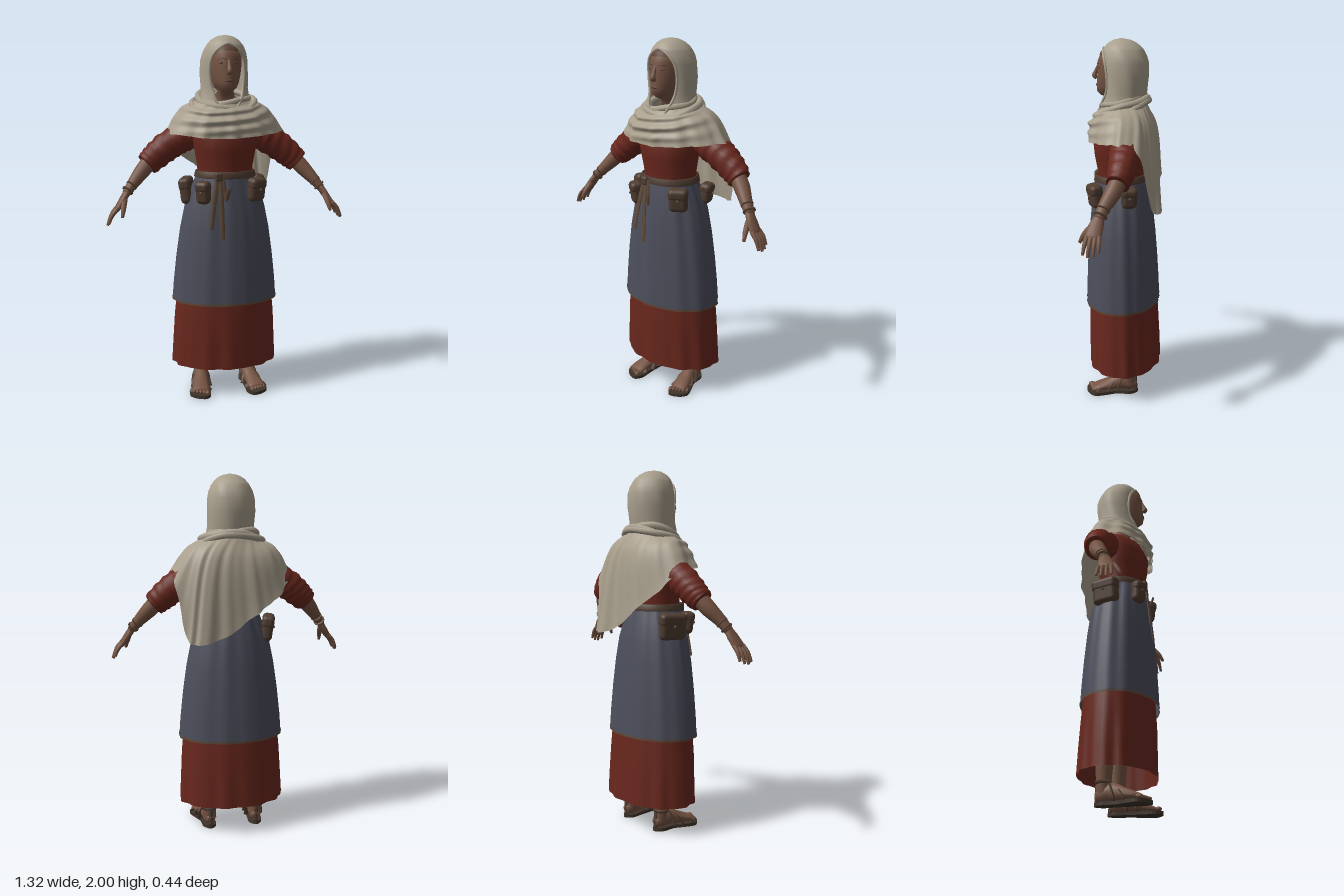
import * as THREE from 'three';
import { RoundedBoxGeometry } from 'three/addons/geometries/RoundedBoxGeometry.js';

const paint = (name, color) => {
  const m = new THREE.MeshStandardMaterial({ color, side: THREE.DoubleSide });
  m.name = name;
  return m;
};
const cream = paint('cream cloth', 0xa99f8d);
const red = paint('rust red cloth', 0x68271d);
const blue = paint('slate blue cloth', 0x4c4e5b);
const skin = paint('skin', 0x755443);
const shade = paint('dark skin', 0x5e4336);
const leather = paint('leather', 0x503d31);
const strapTan = paint('worn strap', 0x5f4a39);
const sole = paint('sole', 0x40342a);

const V = (x, y, z) => new THREE.Vector3(x, y, z);
const TAU = Math.PI * 2;

function add(parent, name, geometry, material, x = 0, y = 0, z = 0) {
  const mesh = new THREE.Mesh(geometry, material);
  mesh.name = name;
  mesh.position.set(x, y, z);
  parent.add(mesh);
  return mesh;
}

// Grid surface from f(u index, v index), optionally wrapped in u
function surface(nu, nv, f, closed = true) {
  const cols = closed ? nu : nu + 1, pos = [], idx = [];
  for (let j = 0; j <= nv; j++) for (let i = 0; i < cols; i++) pos.push(...f(i / nu, j).toArray());
  for (let j = 0; j < nv; j++) for (let i = 0; i < nu; i++) {
    const a = j * cols + i, b = j * cols + (i + 1) % cols;
    idx.push(a, b, a + cols, b, b + cols, a + cols);
  }
  const g = new THREE.BufferGeometry();
  g.setAttribute('position', new THREE.Float32BufferAttribute(pos, 3));
  g.setIndex(idx);
  g.computeVertexNormals();
  return g;
}

// Upright loft; rows are [y, half width, front z, back z, fold depth], bottom to top
function loft(rows, nu = 48) {
  return surface(nu, rows.length - 1, (u, j) => {
    const [y, rx, zf, zb, fold = 0] = rows[j], t = u * TAU;
    const k = 1 + fold * (Math.sin(11 * t + 1) + 0.7 * Math.sin(17 * t + 2.5));
    return V(rx * Math.sin(t) * k, y, (zf + zb) / 2 + (zf - zb) / 2 * Math.cos(t) * k);
  });
}

// Capped tube; points are [x, y, z, radius along ref, other radius]
function limb(points, { ref = V(0, 0, 1), n = 14, steps = 4, s = 1, wrinkle = 0 } = {}) {
  const curve = new THREE.CatmullRomCurve3(points.map(p => V(p[0] * s, p[1], p[2])));
  const last = points.length - 1, nv = last * steps;
  return surface(n, nv + 2, (u, j) => {
    const t = THREE.MathUtils.clamp((j - 1) / nv, 0, 1), k = Math.min(Math.floor(t * last), last - 1), f = t * last - k;
    const radius = i => THREE.MathUtils.lerp(points[k][i] ?? points[k][3], points[k + 1][i] ?? points[k + 1][3], f);
    const c = curve.getPoint(t), d = curve.getTangent(t);
    const side = ref.clone().addScaledVector(d, -ref.dot(d)).normalize(), other = d.clone().cross(side);
    const a = u * TAU, cap = j === 0 || j === nv + 2 ? 0 : 1 + wrinkle * Math.sin(j * 1.7 + 3 * Math.sin(a + j * 0.2));
    return c.addScaledVector(side, Math.cos(a) * radius(3) * cap).addScaledVector(other, Math.sin(a) * radius(4) * cap);
  });
}

function buildDress(g) {
  add(g, 'underskirt', loft([[0.165, 0.3, 0.2, -0.21, 0.018], [0.3, 0.293, 0.2, -0.204, 0.014],
    [0.45, 0.285, 0.2, -0.195, 0.008], [0.6, 0.27, 0.192, -0.185, 0]], 96), red);
  add(g, 'overskirt', loft([[0.545, 0.297, 0.216, -0.2, 0.008], [0.65, 0.289, 0.213, -0.195, 0.008], [0.8, 0.272, 0.207, -0.185, 0.01],
    [0.95, 0.25, 0.198, -0.172, 0.012], [1.08, 0.223, 0.185, -0.157, 0.014], [1.18, 0.187, 0.17, -0.135, 0.016],
    [1.27, 0.152, 0.152, -0.108, 0.008]], 96), blue);
  add(g, 'overskirtHem', loft([[0.54, 0.299, 0.218, -0.202, 0.008], [0.552, 0.299, 0.218, -0.202, 0.008]], 96), strapTan);
  add(g, 'bodice', loft([[1.24, 0.152, 0.15, -0.105], [1.3, 0.155, 0.15, -0.105, 0.006], [1.38, 0.168, 0.165, -0.115, 0.005],
    [1.46, 0.187, 0.172, -0.125], [1.53, 0.18, 0.14, -0.12], [1.57, 0.14, 0.09, -0.09], [1.59, 0.05, 0.04, -0.05]]), red);
}

function buildBelt(g) {
  add(g, 'belt', loft([[1.237, 0.165, 0.163, -0.12], [1.24, 0.172, 0.17, -0.127], [1.272, 0.166, 0.167, -0.122], [1.275, 0.156, 0.158, -0.112]]), leather);
  // Knot and hanging ends
  add(g, 'beltKnot', new RoundedBoxGeometry(0.045, 0.05, 0.03, 2, 0.012), leather, -0.06, 1.25, 0.165);
  for (const [x0, x1, y1] of [[-0.065, -0.11, 0.97], [-0.055, -0.045, 0.91], [-0.04, -0.01, 1.19]])
    add(g, 'beltEnd', limb([[x0, 1.26, 0.168, 0.004, 0.012], [(x0 + x1) / 2, 1.13, 0.185, 0.004, 0.013],
      [x1, y1, 0.203, 0.004, 0.012]], { n: 8 }), strapTan);
  // Pouches: x, y, z, yaw, width, height
  for (const [x, y, z, yaw, w, h] of [[0.152, 1.175, 0.142, 0.55, 0.105, 0.13], [-0.142, 1.165, 0.145, -0.6, 0.08, 0.125],
    [-0.208, 1.158, -0.025, -1.85, 0.15, 0.145], [0.197, 1.18, -0.05, 1.8, 0.085, 0.115]]) {
    const pouch = new THREE.Group();
    pouch.name = 'pouch';
    pouch.position.set(x, y, z);
    pouch.rotation.set(0.12, yaw, 0, 'YXZ');
    add(pouch, 'pouchBody', new RoundedBoxGeometry(w, h, 0.064, 4, 0.028), leather);
    add(pouch, 'pouchFlap', new RoundedBoxGeometry(w * 1.04, h * 0.5, 0.07, 4, 0.025), leather, 0, h * 0.26, 0);
    add(pouch, 'pouchToggle', new THREE.SphereGeometry(0.008, 8, 6), strapTan, 0, h * 0.04, 0.034);
    g.add(pouch);
  }
}

function buildHead(g) {
  add(g, 'headAndNeck', loft([[1.56, 0.085, 0.09, -0.07], [1.62, 0.06, 0.07, -0.06], [1.68, 0.055, 0.07, -0.06], [1.703, 0.04, 0.13, -0.06],
    [1.722, 0.058, 0.15, -0.07], [1.75, 0.07, 0.152, -0.075], [1.79, 0.08, 0.15, -0.08], [1.83, 0.086, 0.147, -0.09], [1.88, 0.087, 0.147, -0.09],
    [1.92, 0.08, 0.13, -0.085], [1.955, 0.045, 0.08, -0.05]], 32), skin);
  // Hairline under the hood
  add(g, 'hair', loft([[1.912, 0.087, 0.136, -0.08], [1.93, 0.08, 0.13, -0.08], [1.95, 0.06, 0.1, -0.06]], 32), shade);
  add(g, 'nose', limb([[0, 1.868, 0.141, 0.006, 0.008], [0, 1.83, 0.155, 0.01, 0.011], [0, 1.805, 0.164, 0.014, 0.016],
    [0, 1.793, 0.152, 0.01, 0.014]], { n: 10 }), skin);
  add(g, 'lips', new THREE.SphereGeometry(1, 12, 8), shade, 0, 1.757, 0.149).scale.set(0.022, 0.007, 0.008);
  for (const s of [-1, 1]) {
    add(g, 'eyelid', new THREE.SphereGeometry(1, 12, 8), shade, 0.035 * s, 1.85, 0.132).scale.set(0.017, 0.006, 0.007);
    add(g, 'eyebrow', limb([[0.016, 1.868, 0.144, 0.003], [0.036, 1.872, 0.135, 0.003], [0.056, 1.866, 0.118, 0.002]],
      { n: 6, s, ref: V(0, 1, 0) }), shade);
  }
}

function buildHeadscarf(g) {
  // Hood rows: y, half width, front z, back z, half angle of the face opening
  const rows = [[1.61, 0.15, 0.14, -0.11, 0.3], [1.67, 0.134, 0.13, -0.112, 0.58], [1.72, 0.128, 0.122, -0.12, 0.75], [1.8, 0.132, 0.12, -0.131, 0.8],
    [1.87, 0.128, 0.124, -0.13, 0.74], [1.91, 0.118, 0.122, -0.117, 0.58], [1.938, 0.104, 0.117, -0.102, 0.3], [1.95, 0.097, 0.112, -0.094, 0],
    [1.975, 0.074, 0.09, -0.066, 0], [1.992, 0.043, 0.06, -0.03, 0], [2, 0.001, 0.02, 0.018, 0]];
  const at = (j, t) => {
    const [y, rx, zf, zb] = rows[j], k = 1 + (j < 7 ? 0.018 * Math.sin(7 * t + y * 18) : 0);
    return V(rx * Math.sin(t) * k, y, (zf + zb) / 2 + (zf - zb) / 2 * Math.cos(t) * k);
  };
  add(g, 'hood', surface(40, rows.length - 1, (u, j) => at(j, rows[j][4] + u * (TAU - 2 * rows[j][4])), false), cream);
  const edge = [0, 1, 2, 3, 4, 5, 6, 7].map(j => at(j, rows[j][4]));
  const rim = edge.concat(edge.slice(0, 7).reverse().map(p => V(-p.x, p.y, p.z)));
  add(g, 'hoodRim', new THREE.TubeGeometry(new THREE.CatmullRomCurve3(rim), 60, 0.008, 8), cream);

  // Shawl: closed shoulder and hem outlines, starting at the front and going round by the left
  const outline = pts => new THREE.CatmullRomCurve3(pts.map(p => V(...p)), true);
  const shoulder = outline([[0, 1.56, 0.178], [0.11, 1.57, 0.153], [0.2, 1.6, 0.08], [0.24, 1.61, -0.01], [0.22, 1.605, -0.09], [0.19, 1.57, -0.14],
    [0.13, 1.56, -0.16], [0.04, 1.56, -0.165], [-0.07, 1.56, -0.16], [-0.17, 1.58, -0.13], [-0.235, 1.61, -0.05], [-0.2, 1.6, 0.07], [-0.12, 1.57, 0.15]]);
  const hem = outline([[0, 1.455, 0.19], [0.14, 1.465, 0.173], [0.265, 1.475, 0.09], [0.335, 1.48, -0.01], [0.325, 1.44, -0.105], [0.265, 1.12, -0.185],
    [0.205, 1.105, -0.218], [0.05, 1.15, -0.2], [-0.1, 1.255, -0.192], [-0.225, 1.34, -0.16], [-0.325, 1.455, -0.075], [-0.285, 1.475, 0.08], [-0.15, 1.46, 0.17]]);
  const nv = 36;
  add(g, 'shawl', surface(104, nv, (u, j) => {
    const t = u * TAU, v = j / nv;
    const neck = V(0.13 * Math.sin(t), 1.67 - 0.02 * Math.cos(t), 0.01 + 0.115 * Math.cos(t));
    const p = new THREE.CatmullRomCurve3([neck, shoulder.getPoint(u), hem.getPoint(u)]).getPoint(v);
    // Hanging pleats at the hem and swags crossing the chest
    const pleat = 0.006 * v * Math.sin(13 * t + 1) + 0.004 * v * Math.sin(23 * t);
    const swag = 0.009 * Math.max(0, Math.cos(t)) * Math.sin(Math.PI * v) * (1 + Math.sin(24 * v + 2.5 * Math.sin(t) + Math.cos(3 * t)));
    return p.add(V(Math.sin(t), 0, Math.cos(t)).multiplyScalar(pleat + swag));
  }), cream);

  // Rolled cowl round the neck: half width, depth, height, front drop, thickness, sideways tilt
  [[0.128, 0.11, 1.665, 0.025, 0.018, 0.01], [0.145, 0.122, 1.65, 0.045, 0.02, -0.016], [0.163, 0.133, 1.635, 0.05, 0.02, 0.014],
    [0.18, 0.142, 1.618, 0.058, 0.018, -0.008]].forEach(([rx, rz, y, drop, r, tilt], k) => {
    const ring = Array.from({ length: 16 }, (_, i) => {
      const t = i / 16 * TAU;
      return V(rx * Math.sin(t), y - drop * Math.cos(t) + tilt * Math.sin(t) + 0.006 * Math.sin(3 * t + 2 * k), 0.012 + rz * Math.cos(t));
    });
    add(g, 'cowlFold', new THREE.TubeGeometry(new THREE.CatmullRomCurve3(ring, true), 48, r, 8, true), cream);
  });
}

function buildArm(g, s) {
  add(g, 'sleeve', limb([[0.15, 1.475, -0.03, 0.075, 0.08], [0.24, 1.445, -0.035, 0.08, 0.082], [0.32, 1.397, -0.036, 0.077, 0.082],
    [0.385, 1.345, -0.03, 0.068, 0.075], [0.43, 1.305, -0.02, 0.057, 0.065]], { s, n: 20, steps: 6, wrinkle: 0.045 }), red);
  add(g, 'forearm', limb([[0.4, 1.335, -0.028, 0.045, 0.046], [0.46, 1.268, 0.0, 0.043, 0.042], [0.51, 1.21, 0.034, 0.034, 0.032],
    [0.55, 1.16, 0.055, 0.028, 0.022]], { s }), skin);
  for (const t of [0, 0.022])
    add(g, 'bracelet', limb([[0.515 + t, 1.204 - t * 1.2, 0.036 + t * 0.5, 0.036, 0.033], [0.521 + t, 1.197 - t * 1.2, 0.039 + t * 0.5, 0.035, 0.032]], { s, steps: 1 }), strapTan);
  add(g, 'palm', limb([[0.542, 1.17, 0.053, 0.026, 0.02], [0.568, 1.13, 0.065, 0.038, 0.019], [0.598, 1.085, 0.076, 0.042, 0.016], [0.607, 1.07, 0.078, 0.036, 0.012]], { s }), skin);
  // Fingers continue the palm, slightly fanned
  [[0.046, 0.042, 0.8], [0.066, 0.068, 0.95], [0.087, 0.095, 1], [0.107, 0.12, 0.9]].forEach(([z0, z1, k]) =>
    add(g, 'finger', limb([[0.597, 1.088, z0, 0.012], [0.597 + 0.035 * k, 1.088 - 0.04 * k, (z0 + z1) / 2, 0.011],
      [0.597 + 0.058 * k, 1.088 - 0.093 * k, z1, 0.007]], { s, n: 8, steps: 3 }), skin));
  add(g, 'thumb', limb([[0.56, 1.13, 0.085, 0.016], [0.57, 1.085, 0.125, 0.014], [0.577, 1.045, 0.148, 0.008]], { s, n: 8, steps: 3 }), skin);
}

function buildFoot(g, s) {
  const ref = V(1, 0, 0);
  add(g, 'leg', limb([[0.135, 0.05, -0.045, 0.038, 0.036], [0.137, 0.11, -0.045, 0.038, 0.04], [0.14, 0.25, -0.04, 0.048, 0.05],
    [0.135, 0.5, -0.02, 0.06, 0.06]], { s }), skin);
  add(g, 'foot', limb([[0.133, 0.048, -0.086, 0.02, 0.022], [0.135, 0.055, -0.055, 0.036, 0.042], [0.14, 0.066, 0.0, 0.038, 0.05],
    [0.15, 0.05, 0.07, 0.044, 0.033], [0.16, 0.038, 0.13, 0.048, 0.02], [0.163, 0.03, 0.16, 0.044, 0.013]], { s, ref }), skin);
  for (let i = 0; i < 5; i++)
    add(g, 'toe', new THREE.SphereGeometry(1, 10, 8), skin, s * (0.13 + i * 0.018), 0.03, 0.178 - i * 0.008)
      .scale.set(i ? 0.009 : 0.013, 0.011, 0.02);
  // Sandal sole, seen from above
  const shape = new THREE.Shape();
  shape.setFromPoints(new THREE.CatmullRomCurve3([[0.135, -0.095], [0.172, -0.06], [0.178, 0.02], [0.208, 0.09], [0.222, 0.145], [0.19, 0.185],
    [0.135, 0.202], [0.107, 0.165], [0.107, 0.09], [0.104, 0.01], [0.1, -0.06]].map(([x, z]) => V(x * s, -z, 0)), true).getPoints(44));
  add(g, 'sandalSole', new THREE.ExtrudeGeometry(shape, { depth: 0.018, bevelEnabled: false }).rotateX(-Math.PI / 2), sole);
  // Sandal straps over toes, instep and ankle
  for (const [x, z, w, h, lean] of [[0.16, 0.125, 0.053, 0.049, 0.012], [0.147, 0.055, 0.048, 0.08, 0.02], [0.141, 0.005, 0.043, 0.11, 0.015]])
    add(g, 'sandalStrap', limb([[x - w, 0.018, z + lean, 0.005, 0.015], [x - w * 0.75, h * 0.72, z, 0.005, 0.015], [x, h + 0.006, z - lean, 0.005, 0.015],
      [x + w * 0.75, h * 0.72, z, 0.005, 0.015], [x + w, 0.018, z + lean, 0.005, 0.015]], { s, n: 8, ref: V(0, 0.7, 0.3) }), leather);
  add(g, 'ankleStrap', limb([[0.137, 0.108, -0.045, 0.043, 0.045], [0.137, 0.126, -0.045, 0.043, 0.045]], { s, steps: 1 }), leather);
  add(g, 'heelStrap', limb([[0.134, 0.018, -0.083, 0.014, 0.01], [0.135, 0.11, -0.082, 0.012, 0.007]], { s, n: 8, ref }), leather);
}

export function createModel() {
  const model = new THREE.Group();
  model.name = 'robedVillager';
  const part = (name, build, ...args) => {
    const g = new THREE.Group();
    g.name = name;
    build(g, ...args);
    model.add(g);
  };
  part('dress', buildDress);
  part('beltAndPouches', buildBelt);
  part('head', buildHead);
  part('headscarf', buildHeadscarf);
  for (const [side, s] of [['left', 1], ['right', -1]]) {
    part(side + 'Arm', buildArm, s);
    part(side + 'Foot', buildFoot, s);
  }
  return model;
}
